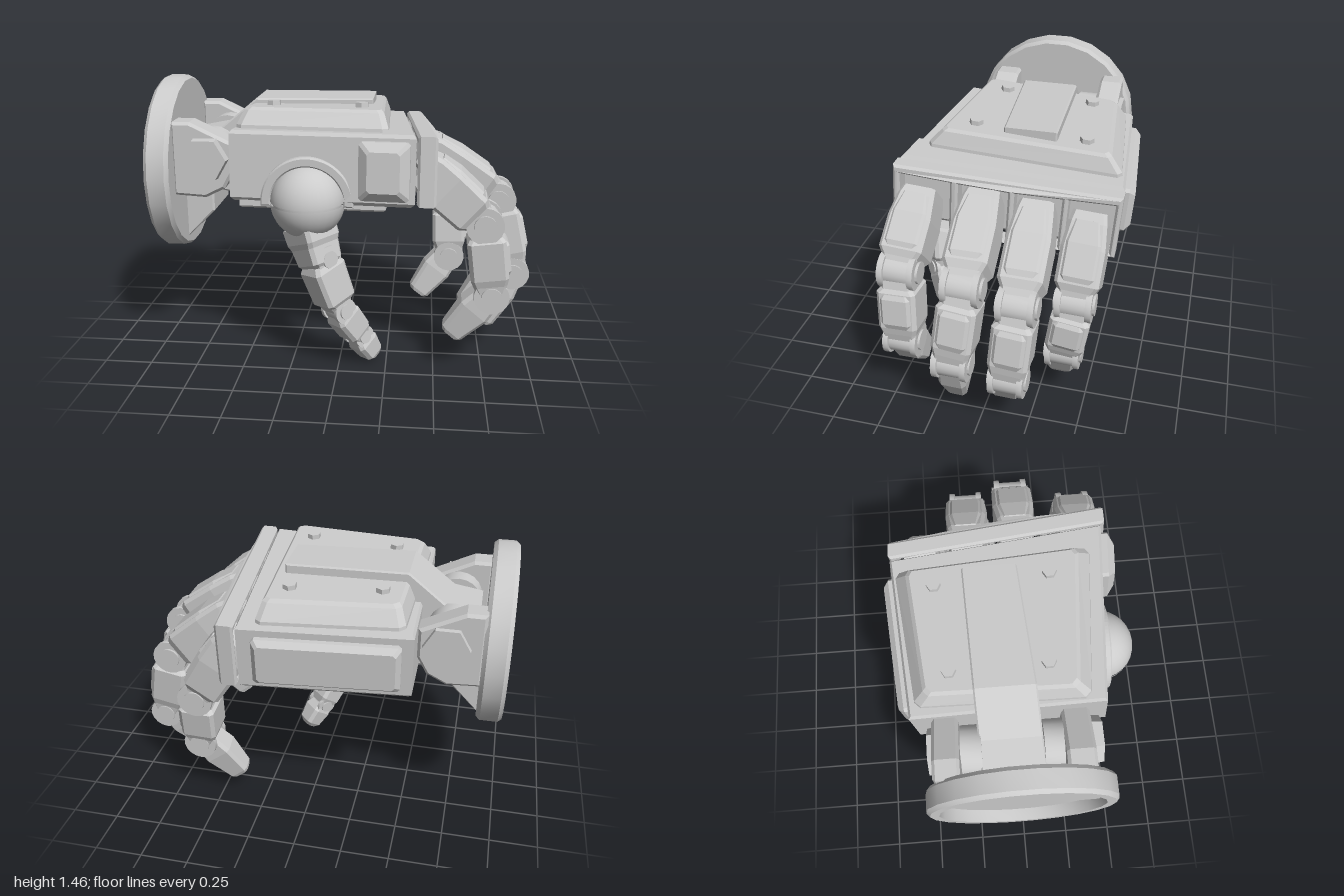
import * as THREE from 'three';
import { toCreasedNormals } from 'three/addons/utils/BufferGeometryUtils.js';

const grey = new THREE.MeshStandardMaterial({ color: 0xcccccc });
const V = (a) => new THREE.Vector3(...a);

function add(parent, name, geometry, pos = [0, 0, 0]) {
  const m = new THREE.Mesh(geometry, grey);
  m.name = name;
  m.position.set(...pos);
  parent.add(m);
  return m;
}

// Closed faceted solid through rings of equal point count
function loft(rings) {
  const n = rings[0].length, tris = [];
  for (let r = 0; r < rings.length - 1; r++)
    for (let i = 0; i < n; i++) {
      const j = (i + 1) % n, A = rings[r], B = rings[r + 1];
      tris.push([A[i], A[j], B[j]], [A[i], B[j], B[i]]);
    }
  const first = rings[0], last = rings[rings.length - 1];
  for (let i = 1; i < n - 1; i++)
    tris.push([first[0], first[i + 1], first[i]], [last[0], last[i], last[i + 1]]);
  // Turn the faces outward whichever way the rings run
  let vol = 0;
  const c = first[0];
  for (const t of tris) {
    const [p, q, s] = t.map((v) => v.clone().sub(c));
    vol += p.dot(q.cross(s));
  }
  if (vol < 0) tris.forEach((t) => t.reverse());
  const g = new THREE.BufferGeometry().setFromPoints(tris.flat());
  g.computeVertexNormals();
  return g;
}

// Rectangle with cut corners
function octagon(w, h, c) {
  const a = w / 2, b = h / 2;
  return [[a, -b + c], [a, b - c], [a - c, b], [-a + c, b], [-a, b - c], [-a, -b + c], [-a + c, -b], [a - c, -b]];
}

// Block along a..b; stations are [t, width, thickness, lift]
function limb(parent, name, a, b, side, stations) {
  const A = V(a), d = V(b).sub(A), L = d.length();
  d.normalize();
  const s = V(side).addScaledVector(d, -V(side).dot(d)).normalize();
  const n = s.clone().cross(d);
  return add(parent, name, loft(stations.map(([t, w, h, lift = 0]) =>
    octagon(w, h, 0.018).map(([u, v]) =>
      A.clone().addScaledVector(d, t * L).addScaledVector(s, u).addScaledVector(n, v + lift)))));
}

// Hinge: barrel, two cheeks and two pin caps
function hinge(parent, name, p, side, k = 1) {
  const g = new THREE.Group();
  g.name = name;
  const cyl = (part, r, len, y) =>
    add(g, part, toCreasedNormals(new THREE.CylinderGeometry(r * k, r * k, len * k, 18), 0.6), [0, y * k, 0]);
  cyl('hingeBarrel', 0.08, 0.14, 0);
  for (const e of [-1, 1]) {
    cyl('hingeCheek', 0.094, 0.03, e * 0.076);
    cyl('hingeCap', 0.056, 0.015, e * 0.096);
  }
  g.position.set(...p);
  g.quaternion.setFromUnitVectors(new THREE.Vector3(0, 1, 0), V(side).normalize());
  parent.add(g);
}

function extrude(points, depth, bevel = 0.01) {
  return new THREE.ExtrudeGeometry(new THREE.Shape(points.map((p) => new THREE.Vector2(...p))),
    { depth, bevelEnabled: bevel > 0, bevelSize: bevel, bevelThickness: bevel, bevelOffset: -bevel, bevelSegments: 1 });
}

// Plan outline stacked at heights: [y, x factor, z factor]
const stack = (plan, levels) => loft(levels.map(([y, fx, fz]) =>
  plan.map(([x, z]) => new THREE.Vector3(-0.1 + (x + 0.1) * fx, y, -0.05 + (z + 0.05) * fz))));

// Raised panel with sloped edges, facing +z
const panel = (w, h, d, slope) => loft([[w, h, 0], [w, h, d * 0.5], [w - slope, h - slope, d]].map(([a, b, z]) =>
  octagon(a, b, 0.015).map(([x, y]) => new THREE.Vector3(x, y, z))));

function buildWrist(root) {
  const wrist = new THREE.Group();
  wrist.name = 'wrist';
  root.add(wrist);
  // Round mounting plate with a recessed back
  const profile = [[0, -0.93], [0.4, -0.93], [0.41, -0.99], [0.455, -0.99], [0.472, -0.97], [0.472, -0.88], [0.455, -0.86], [0, -0.86]]
    .map((p) => new THREE.Vector2(...p));
  add(wrist, 'wristDisc', toCreasedNormals(new THREE.LatheGeometry(profile, 22).rotateZ(-Math.PI / 2), 0.5), [0, 1.003, -0.02]);
  const half = [[-0.08, -0.08], [0.03, 0.03], [0.39, 0.03]];
  for (let i = 1; i <= 10; i++) half.push([0.39 * Math.cos(i * Math.PI / 10), 0.39 * Math.sin(i * Math.PI / 10)]);
  half.push([-0.38, -0.08]);
  add(wrist, 'recessPlate', extrude(half, 0.03, 0).rotateY(Math.PI / 2), [-0.955, 1.003, -0.02]);

  // Fork arms, hex bolts and hinge barrels
  const arm = [[-0.87, 0.9], [-0.7, 0.89], [-0.6, 0.94], [-0.55, 1.03], [-0.55, 1.18], [-0.77, 1.285], [-0.87, 1.285]];
  for (const [z, w, boltZ] of [[0.21, 0.13, 0.355], [-0.42, 0.12, -0.43]]) {
    add(wrist, 'forkArm', extrude(arm, w - 0.02, 0.015), [0, 0, z]);
    const bolt = new THREE.CylinderGeometry(0.115, 0.122, 0.06, 6).toNonIndexed();
    bolt.computeVertexNormals();
    add(wrist, 'hexBolt', bolt.rotateX(Math.sign(z) * Math.PI / 2).rotateZ(Math.PI / 6), [-0.69, 1.1, boltZ]);
  }
  for (const z of [0.15, -0.25])
    add(wrist, 'pivotBarrel', toCreasedNormals(new THREE.CylinderGeometry(0.125, 0.125, 0.1, 20).rotateX(Math.PI / 2), 0.6), [-0.7, 1.1, z]);
  add(wrist, 'pivotPin', new THREE.CylinderGeometry(0.06, 0.06, 0.7, 12).rotateX(Math.PI / 2), [-0.69, 1.1, -0.03]);
  add(wrist, 'lowerStop', extrude([[-0.87, 0.6], [-0.71, 0.76], [-0.71, 0.88], [-0.87, 0.88]], 0.32), [0, 0, -0.19]);
  add(wrist, 'lowerArm', extrude([[-0.87, 0.9], [-0.57, 0.84], [-0.4, 0.86], [-0.4, 0.95], [-0.87, 0.98]], 0.24), [0, 0, -0.17]);

  // Strap from the pivot over the back of the hand
  const strap = extrude([[-0.83, 1.0], [-0.5, 0.98], [-0.44, 1.28], [0.15, 1.29], [0.15, 1.372], [-0.47, 1.372], [-0.68, 1.2], [-0.83, 1.17]], 0.28, 0.008);
  const p = strap.attributes.position;
  for (let i = 0; i < p.count; i++) {
    const x = p.getX(i), u = p.getZ(i) / 0.28, t = (x + 0.83) / 0.98;
    p.setZ(i, (-0.2 - 0.03 * t) * (1 - u) + (0.1 - 0.07 * t) * u);
  }
  strap.computeVertexNormals();
  add(wrist, 'backStrap', strap);
}

function buildPalm(root) {
  const palm = new THREE.Group();
  palm.name = 'palm';
  palm.position.y = 1.07;
  palm.rotation.x = -0.072;
  root.add(palm);
  add(palm, 'palmBody', stack([[-0.545, 0.43], [0.385, 0.505], [0.305, -0.6], [-0.545, -0.53]],
    [[-0.19, 0.96, 0.96], [-0.17, 1, 1], [0.15, 1, 1], [0.168, 0.975, 0.975]]));
  add(palm, 'backPlate', stack([[-0.53, 0.33], [-0.5, 0.36], [0.22, 0.43], [0.25, 0.41], [0.22, -0.55], [0.19, -0.57], [-0.47, -0.5], [-0.5, -0.47]],
    [[0.15, 1, 1], [0.185, 0.99, 0.99], [0.255, 0.92, 0.87], [0.27, 0.88, 0.83]]));
  // Stepped plate under the palm
  add(palm, 'palmPlate', extrude([[-0.5, -0.36], [-0.3, -0.36], [-0.22, -0.2], [0.02, -0.2], [0.1, -0.4], [0.28, -0.4], [0.24, 0.45], [-0.5, 0.42]], 0.03)
    .rotateX(Math.PI / 2), [0, -0.185, 0]);
  for (const [x, z] of [[-0.36, -0.31], [0.09, -0.36], [-0.36, 0.17], [0.1, 0.215]]) {
    const g = new THREE.CylinderGeometry(0.036, 0.038, 0.04, 6).toNonIndexed();
    g.computeVertexNormals();
    add(palm, 'plateBolt', g, [x, 0.274, z]);
  }
  add(palm, 'frontPanel', panel(0.25, 0.29, 0.07, 0.09), [0.235, -0.01, 0.49]).rotation.y = -0.077;
  add(palm, 'rearPanel', panel(0.72, 0.25, 0.06, 0.05), [-0.13, -0.01, -0.56]).rotation.y = Math.PI + 0.083;

  // Knuckle frame with one pocket per finger, bent back toward the small finger
  const rect = (C, a, b, y0, y1) => {
    const s = new C();
    s.moveTo(-a, y0); s.lineTo(-b, y0); s.lineTo(-b, y1); s.lineTo(-a, y1); s.closePath();
    return s;
  };
  const shape = rect(THREE.Shape, 0.525, -0.605, -0.18, 0.165);
  for (const [a, b] of [[0.49, 0.23], [0.19, -0.06], [-0.09, -0.32], [-0.35, -0.575]])
    shape.holes.push(rect(THREE.Path, a, b, -0.155, 0.12));
  const frame = new THREE.ExtrudeGeometry(shape, { depth: 0.07, bevelSize: 0.012, bevelOffset: -0.012, bevelThickness: 0.012, bevelSegments: 1 });
  frame.rotateY(Math.PI / 2);
  const p = frame.attributes.position;
  for (let i = 0; i < p.count; i++) p.setX(i, p.getX(i) + 0.13 * Math.min(0, p.getZ(i)));
  frame.computeVertexNormals();
  add(palm, 'knuckleFrame', frame, [0.406, 0, 0]);
}

function buildFinger(root, name, [K, J1, J2, T]) {
  const g = new THREE.Group(), side = [0, 0, 1];
  g.name = name;
  root.add(g);
  limb(g, 'proximalSegment', K, J1, side, [[0, 0.17, 0.18], [0.12, 0.19, 0.21], [0.4, 0.22, 0.22], [0.8, 0.22, 0.21], [0.88, 0.18, 0.17], [1, 0.17, 0.13]]);
  limb(g, 'proximalCover', K, J1, side, [[0.1, 0.14, 0.1, 0.06], [0.35, 0.18, 0.12, 0.062], [0.72, 0.18, 0.12, 0.058], [0.8, 0.15, 0.1, 0.05]]);
  hinge(g, 'knuckleHinge', J1, side);
  limb(g, 'middleSegment', J1, J2, side, [[0, 0.16, 0.14], [0.18, 0.16, 0.16], [0.23, 0.2, 0.19], [0.74, 0.2, 0.19], [0.84, 0.18, 0.17], [1, 0.17, 0.13]]);
  limb(g, 'middleCover', J1, J2, side, [[0.24, 0.14, 0.11, 0.045], [0.3, 0.16, 0.12, 0.05], [0.66, 0.16, 0.12, 0.05], [0.74, 0.14, 0.11, 0.04]]);
  hinge(g, 'tipHinge', J2, side, 0.95);
  limb(g, 'fingertip', J2, T, side, [[0, 0.13, 0.14], [0.4, 0.14, 0.17], [0.94, 0.105, 0.125], [1, 0.09, 0.1]]);
}

function buildThumb(root) {
  const g = new THREE.Group(), side = [0.7, 0.1, 0.7], c = [-0.15, 0.92, 0.445];
  g.name = 'thumb';
  root.add(g);
  // Split ball in an arched socket
  add(g, 'ballCore', new THREE.SphereGeometry(0.174, 24, 16), c);
  for (const e of [0, 1])
    add(g, 'ballHalf', new THREE.SphereGeometry(0.187, 28, 10, 0, Math.PI * 2, e ? 1.6 : 0, 1.54), c);
  const arch = new THREE.Shape();
  arch.absarc(0, 0, 0.225, -0.05, Math.PI + 0.05, false);
  arch.absarc(0, 0, 0.19, Math.PI + 0.05, -0.05, true);
  add(g, 'socketArch', new THREE.ExtrudeGeometry(arch, { depth: 0.07, curveSegments: 18, bevelSize: 0.008, bevelThickness: 0.008, bevelSegments: 1 }), [c[0], c[1], 0.41]);
  // Segments
  const P = [[-0.145, 0.8, 0.455], [-0.085, 0.62, 0.49], [0.005, 0.35, 0.465], [0.1, 0.17, 0.38], [0.175, 0.032, 0.325]];
  limb(g, 'thumbCollar', P[0], P[1], side, [[0, 0.23, 0.2], [0.4, 0.22, 0.2], [0.55, 0.19, 0.19], [1, 0.17, 0.18], [1.15, 0.12, 0.13]]);
  limb(g, 'thumbBase', P[1], P[2], side, [[0, 0.14, 0.15], [0.12, 0.17, 0.19], [0.76, 0.16, 0.18], [0.84, 0.13, 0.14], [1, 0.12, 0.1]]);
  limb(g, 'thumbMiddle', P[2], P[3], side, [[0, 0.11, 0.1], [0.22, 0.14, 0.15], [0.8, 0.14, 0.14], [1, 0.11, 0.1]]);
  limb(g, 'thumbTip', P[3], P[4], side, [[0, 0.1, 0.1], [0.3, 0.13, 0.13], [0.85, 0.11, 0.11], [1, 0.08, 0.07]]);
  hinge(g, 'thumbHinge', [-0.08, 0.64, 0.485], side, 0.78);
  hinge(g, 'thumbHinge', P[2], side, 0.7);
  hinge(g, 'thumbHinge', P[3], side, 0.64);
}

export function createModel() {
  const root = new THREE.Group();
  root.name = 'mechanicalHand';
  buildWrist(root);
  buildPalm(root);
  buildThumb(root);
  // Knuckle, two hinges and tip of each finger
  const fingers = {
    indexFinger: [[0.42, 1.1, 0.385], [0.73, 0.83, 0.41], [0.78, 0.45, 0.4], [0.58, 0.21, 0.39]],
    middleFinger: [[0.42, 1.12, 0.06], [0.82, 0.86, 0.06], [0.912, 0.465, 0.1], [0.76, 0.165, 0.125]],
    ringFinger: [[0.4, 1.09, -0.205], [0.8, 0.78, -0.2], [0.875, 0.385, -0.17], [0.68, 0.145, -0.115]],
    smallFinger: [[0.34, 1.06, -0.46], [0.58, 0.68, -0.435], [0.59, 0.37, -0.39], [0.405, 0.125, -0.34]],
  };
  for (const [name, joints] of Object.entries(fingers)) buildFinger(root, name, joints);
  return root;
}
